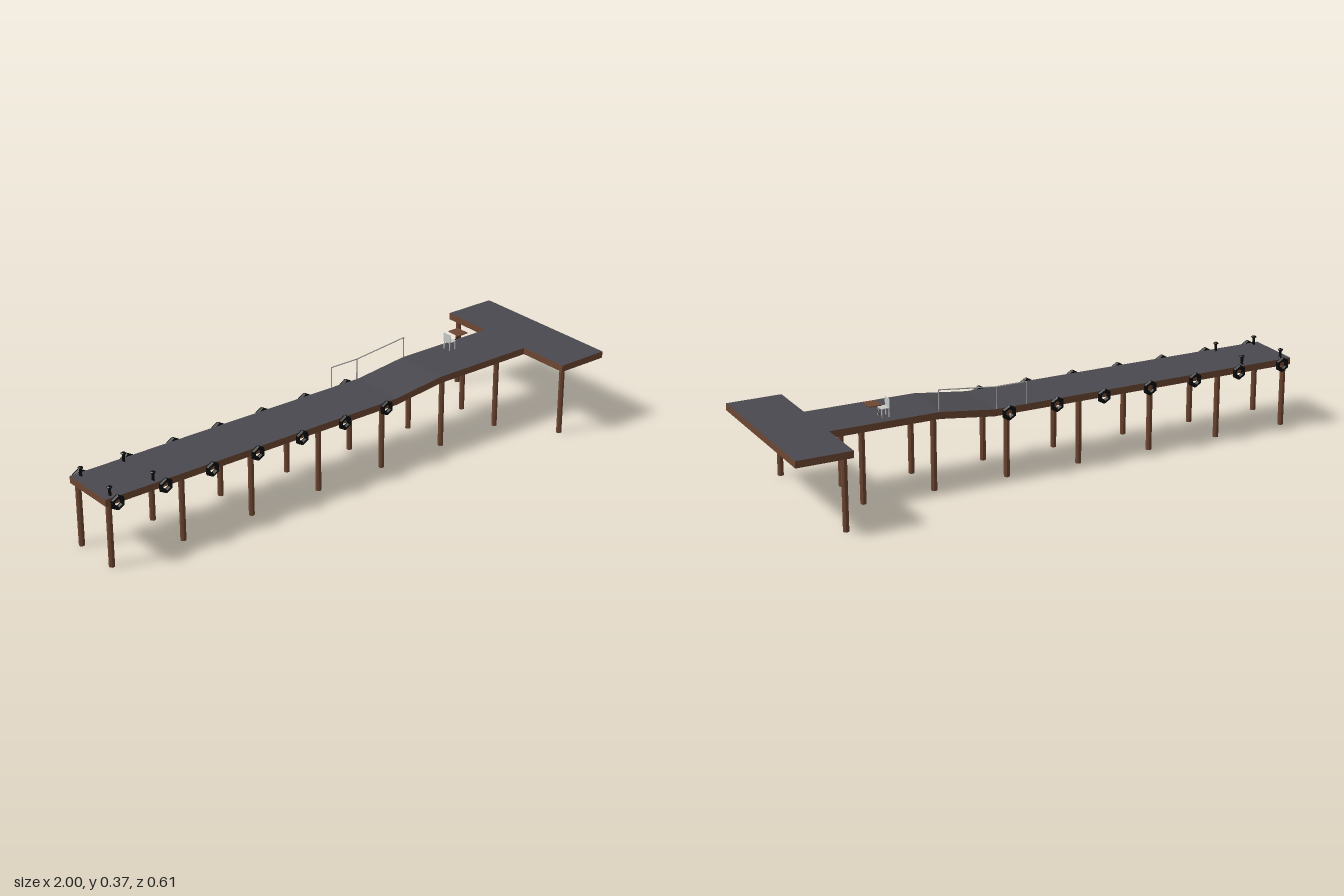
import * as THREE from 'three';

const mat = (name, color, side = THREE.FrontSide) => {
  const m = new THREE.MeshStandardMaterial({ color, side, flatShading: true });
  m.name = name;
  return m;
};

// The pier runs slightly askew and rises over a short ramp
const centreZ = x => -0.028 + 0.031 * x;
const deckTop = x => 0.26 + 0.025 * THREE.MathUtils.clamp((x - 0.2) / 0.2, 0, 1);
const THICK = 0.025;

export function createModel() {
  const wood = mat('brown wood', 0x6e4733);
  const paving = mat('dark grey paving', 0x4a494f);
  const black = mat('black rubber', 0x090909);
  const steel = mat('grey steel', 0x9b9c9c);
  const plastic = mat('light grey plastic', 0xc6c9c5);

  const root = new THREE.Group();
  root.name = 'pier';

  const add = (name, geo, material, x = 0, y = 0, z = 0, parent = root) => {
    const m = new THREE.Mesh(geo, material);
    m.name = name;
    m.position.set(x, y, z);
    parent.add(m);
    return m;
  };

  // Straight bar between two points
  const bar = (name, a, b, r, material, parent) => {
    const p = new THREE.Vector3(...a), q = new THREE.Vector3(...b);
    const d = q.clone().sub(p);
    const m = add(name, new THREE.CylinderGeometry(r, r, d.length(), 6), material, 0, 0, 0, parent);
    m.position.copy(p).add(q).multiplyScalar(0.5);
    m.quaternion.setFromUnitVectors(new THREE.Vector3(0, 1, 0), d.normalize());
    return m;
  };

  // Deck slab following the given stations, paved on top only
  const slab = (name, stations, half) => {
    const n = stations.length - 1;
    const geo = new THREE.BoxGeometry(n, 1, 2, n, 1, 1);
    const p = geo.attributes.position;
    for (let i = 0; i < p.count; i++) {
      const x = stations[Math.round(p.getX(i) + n / 2)];
      const y = deckTop(x) - (p.getY(i) < 0 ? THICK : 0);
      p.setXYZ(i, x, y, centreZ(x) + p.getZ(i) * half);
    }
    geo.computeVertexNormals();
    add(name, geo, [wood, wood, paving, wood, wood, wood]);
  };
  slab('walkway', [-1, 0.2, 0.4, 0.8], 0.105);
  slab('pierHead', [0.8, 1], 0.302);

  // Piles under the walkway and the head
  const pile = (x, offset) => {
    const h = deckTop(x) - THICK + 0.002;
    const geo = new THREE.CylinderGeometry(0.0105, 0.0105, h, 8);
    geo.rotateY(Math.PI / 8);
    add('pile', geo, wood, x, h / 2, centreZ(x) + offset);
  };
  for (const s of [-1, 1]) {
    for (const x of [-0.98, -0.7, -0.42, -0.135, 0.145, 0.42, 0.68]) pile(x, s * 0.089);
    pile(0.825, s * 0.277);
  }

  // Tyre fenders along both edges
  const tyre = new THREE.TorusGeometry(0.0205, 0.0085, 6, 6);
  tyre.rotateZ(Math.PI / 6);
  for (const s of [-1, 1]) {
    for (let i = 0; i < 7; i++) {
      const x = -0.96 + i * 0.1845;
      add('tyreFender', tyre, black, x, 0.242, centreZ(x) + s * 0.1125);
    }
  }

  // Mooring bollards at the low end
  const bollard = new THREE.LatheGeometry(
    [[0, 0], [0.007, 0], [0.005, 0.004], [0.005, 0.026], [0.0095, 0.029], [0.0095, 0.031], [0.006, 0.034], [0, 0.034]]
      .map(([r, y]) => new THREE.Vector2(r, y)), 8);
  for (const x of [-0.97, -0.805]) {
    for (const s of [-1, 1]) add('bollard', bollard, black, x, 0.259, centreZ(x) + s * 0.085);
  }

  // Handrail beside the ramp
  const railing = new THREE.Group();
  railing.name = 'railing';
  root.add(railing);
  const tops = [[0.076, 0.34], [0.19, 0.34], [0.405, 0.364]]
    .map(([x, y]) => [x, y, centreZ(x) - 0.103]);
  tops.forEach((t, i) => {
    bar('railPost', [t[0], deckTop(t[0]) - 0.003, t[2]], t, 0.002, steel, railing);
    if (i) bar('handrail', tops[i - 1], t, 0.002, steel, railing);
  });

  // Chair facing the table
  const chair = new THREE.Group();
  chair.name = 'chair';
  chair.position.set(0.584, 0.285, -0.067);
  root.add(chair);
  add('seat', new THREE.BoxGeometry(0.031, 0.003, 0.034), plastic, 0, 0.032, 0, chair);
  add('backrest', new THREE.BoxGeometry(0.003, 0.031, 0.034), plastic, -0.014, 0.048, 0, chair);
  for (const x of [-0.0135, 0.0135]) {
    for (const z of [-0.014, 0.014]) {
      add('chairLeg', new THREE.BoxGeometry(0.003, 0.032, 0.003), plastic, x, 0.016, z, chair);
    }
  }

  // Small table on a slanted support
  const table = new THREE.Group();
  table.name = 'table';
  root.add(table);
  add('tableTop', new THREE.BoxGeometry(0.045, 0.003, 0.055), wood, 0.627, 0.338, -0.07, table);
  bar('tableSupport', [0.607, 0.337, -0.043], [0.607, 0.286, -0.092], 0.0015, black, table);

  return root;
}
